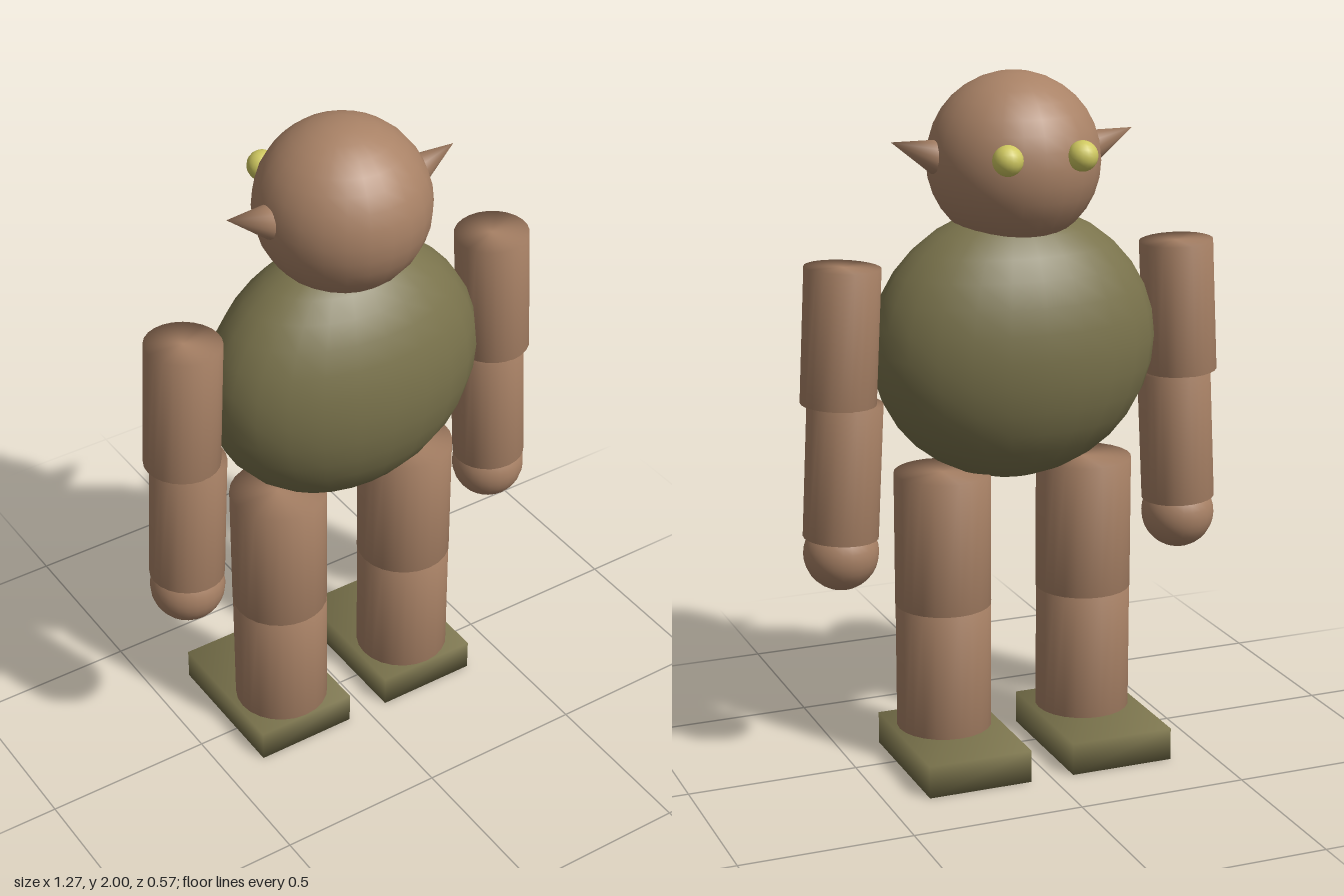
import * as THREE from 'three';
import { mergeVertices } from 'three/addons/utils/BufferGeometryUtils.js';

const skin = new THREE.MeshStandardMaterial({ name: 'brown skin', color: 0xa98266 });
const cloth = new THREE.MeshStandardMaterial({ name: 'olive cloth', color: 0x7a734c });
const eyeColor = new THREE.MeshStandardMaterial({ name: 'yellow eye', color: 0xcfc860 });

const Z = 0.012; // shared depth of the body axis

// Weld corners so that shading runs softly over the edges
function soften(geometry) {
  geometry.deleteAttribute('uv');
  geometry.deleteAttribute('normal');
  const welded = mergeVertices(geometry);
  welded.computeVertexNormals();
  return welded;
}

function part(name, geometry, material, x, y, z) {
  const mesh = new THREE.Mesh(geometry, material);
  mesh.name = name;
  mesh.position.set(x, y, z);
  return mesh;
}

// Round limb or spike running from one point to another
function limb(name, from, to, r0, r1) {
  const a = new THREE.Vector3(...from);
  const b = new THREE.Vector3(...to);
  const axis = b.clone().sub(a);
  const geometry = soften(new THREE.CylinderGeometry(r1, r0, axis.length(), 24));
  const mid = a.add(b).multiplyScalar(0.5);
  const mesh = part(name, geometry, skin, mid.x, mid.y, mid.z);
  mesh.quaternion.setFromUnitVectors(new THREE.Vector3(0, 1, 0), axis.normalize());
  return mesh;
}

export function createModel() {
  const model = new THREE.Group();
  model.name = 'stocky creature';

  // Egg-shaped torso and round head
  const torso = part('torso', new THREE.SphereGeometry(1, 24, 16), cloth, 0, 1.227, Z);
  torso.scale.set(0.424, 0.394, 0.271);
  model.add(torso);
  model.add(part('head', new THREE.SphereGeometry(0.247, 24, 16), skin, 0, 1.754, Z));

  for (const [side, s] of [['left', 1], ['right', -1]]) {
    // Eye and pointed ear
    model.add(part(side + 'Eye', new THREE.SphereGeometry(0.043, 16, 12), eyeColor, s * 0.11, 1.79, -0.22));
    model.add(limb(side + 'Ear', [s * 0.229, 1.773, Z], [s * 0.363, 1.821, Z], 0.05, 0));

    // Slightly splayed arm in two parallel segments
    model.add(limb(side + 'UpperArm', [s * 0.528, 1.097, Z], [s * 0.508, 1.484, Z], 0.108, 0.108));
    model.add(limb(side + 'Forearm', [s * 0.528, 0.708, Z], [s * 0.508, 1.097, Z], 0.108, 0.108));
    model.add(part(side + 'Hand', new THREE.SphereGeometry(0.108, 24, 16), skin, s * 0.528, 0.66, Z));

    // Straight leg on a flat foot
    model.add(limb(side + 'Thigh', [s * 0.22, 0.47, Z], [s * 0.22, 0.864, Z], 0.14, 0.14));
    model.add(limb(side + 'Shin', [s * 0.22, 0.08, Z], [s * 0.22, 0.47, Z], 0.139, 0.139));
    model.add(part(side + 'Foot', soften(new THREE.BoxGeometry(0.31, 0.096, 0.44)), cloth, s * 0.22, 0.048, -0.066));
  }
  return model;
}
